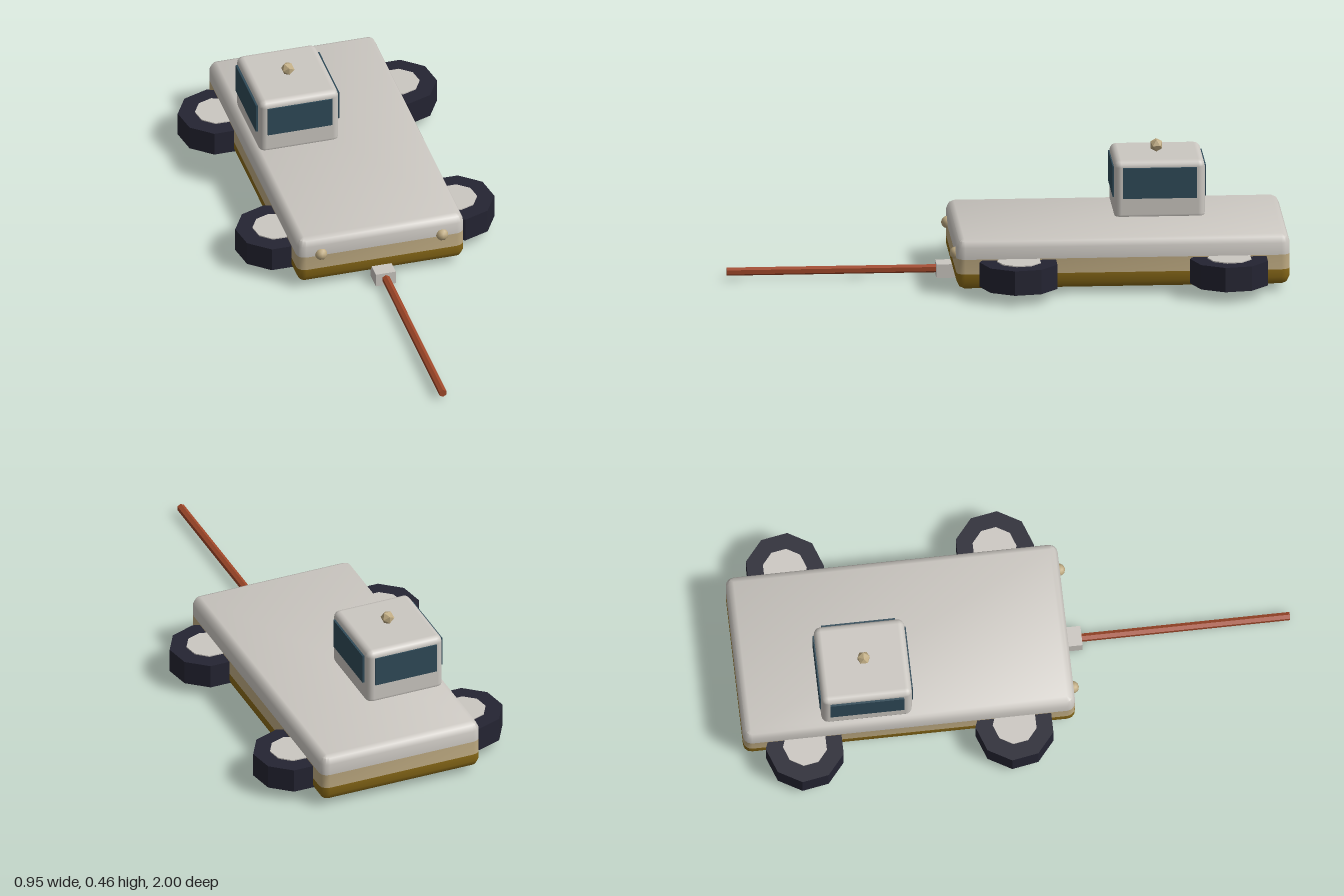
import * as THREE from 'three';
import { toCreasedNormals } from 'three/addons/utils/BufferGeometryUtils.js';
import { RoundedBoxGeometry } from 'three/addons/geometries/RoundedBoxGeometry.js';

const paint = (name, color, flatShading = false) => {
  const m = new THREE.MeshStandardMaterial({ color, flatShading });
  m.name = name;
  return m;
};

// Rounded rectangle outline in the x-z plane, shrunk by an inset
function outline(hx, hz, r, inset) {
  const pts = [], rr = Math.max(r - inset, 0.002), steps = 3;
  [[1, 1], [-1, 1], [-1, -1], [1, -1]].forEach(([sx, sz], q) => {
    for (let i = 0; i <= steps; i++) {
      const a = (q + i / steps) * Math.PI / 2;
      pts.push([sx * (hx - inset - rr) + rr * Math.cos(a), sz * (hz - inset - rr) + rr * Math.sin(a)]);
    }
  });
  return pts;
}

// Horizontal slab of the hull from [y, inset] levels, bottom to top, closed at both ends
function hullBand(levels) {
  const pos = [], index = [];
  const rings = levels.map(([y, inset]) => outline(0.31, 0.5975, 0.03, inset).map(([x, z]) => [x, y, z]));
  const n = rings[0].length, last = rings.length - 1;
  rings.forEach(ring => ring.forEach(p => pos.push(...p)));
  for (let k = 0; k < last; k++) for (let i = 0; i < n; i++) {
    const a = k * n + i, b = k * n + (i + 1) % n;
    index.push(a, a + n, b, b, a + n, b + n);
  }
  for (let i = 1; i < n - 1; i++) {
    index.push(0, i, i + 1);
    index.push(last * n, last * n + i + 1, last * n + i);
  }
  const g = new THREE.BufferGeometry();
  g.setAttribute('position', new THREE.Float32BufferAttribute(pos, 3));
  g.setIndex(index);
  return toCreasedNormals(g, 0.7);
}

export function createModel() {
  const model = new THREE.Group();
  const white = paint('offWhite', 0xcbc7c1);
  const tan = paint('tan', 0xbfab82);
  const brown = paint('ochreBrown', 0x8b6b18);
  const glass = paint('darkGlass', 0x2f4a58);
  const rubber = paint('rubber', 0x242432, true);
  const rust = paint('rust', 0xa0482a, true);

  const add = (name, geometry, material, x = 0, y = 0, z = 0, parent = model) => {
    const mesh = new THREE.Mesh(geometry, material);
    mesh.name = name;
    mesh.position.set(x, y, z);
    parent.add(mesh);
    return mesh;
  };

  // Hull in three painted bands
  const hull = new THREE.Group();
  hull.name = 'hull';
  hull.position.z = -0.4025;
  model.add(hull);
  add('hullLower', hullBand([[0.022, 0.028], [0.031, 0.01], [0.052, 0], [0.08, 0]]), brown, 0, 0, 0, hull);
  add('hullStripe', hullBand([[0.08, 0], [0.134, 0]]), tan, 0, 0, 0, hull);
  add('hullUpper', hullBand([[0.134, 0], [0.177, 0], [0.198, 0.01], [0.207, 0.028]]), white, 0, 0, 0, hull);

  // Cab, offset to one side, with a window on each face
  const cab = new THREE.Group();
  cab.name = 'cab';
  cab.position.set(-0.138, 0, -0.553);
  model.add(cab);
  add('cabShell', new RoundedBoxGeometry(0.296, 0.222, 0.326, 2, 0.025), white, 0, 0.301, 0, cab);
  for (const s of [-1, 1]) {
    add(s > 0 ? 'frontWindow' : 'rearWindow', new THREE.BoxGeometry(0.24, 0.112, 0.009), glass, 0, 0.331, s * 0.163, cab);
    add(s > 0 ? 'leftWindow' : 'rightWindow', new THREE.BoxGeometry(0.009, 0.112, 0.265), glass, s * 0.151, 0.331, 0, cab);
  }
  const lamp = new THREE.IcosahedronGeometry(0.025, 0);
  add('roofBeacon', lamp, tan, 0, 0.434, 0.003, cab);

  // Wheels lying flat, with raised hubs
  for (const s of [-1, 1]) for (const z of [-0.782, -0.027]) {
    const wheel = new THREE.Group();
    wheel.name = 'wheel';
    wheel.position.set(s * 0.335, 0, z);
    wheel.rotation.y = s > 0 ? 0 : Math.PI;
    model.add(wheel);
    add('tyre', new THREE.CylinderGeometry(0.142, 0.142, 0.09, 9), rubber, 0, 0.085, 0, wheel);
    add('hub', new THREE.CylinderGeometry(0.08, 0.08, 0.093, 9), white, 0, 0.0875, 0, wheel);
  }

  // Headlights
  for (const s of [-1, 1]) add('headlight', new THREE.IcosahedronGeometry(0.023, 1), tan, s * 0.225, 0.14, 0.193);

  // Hitch block and tow pole
  add('hitchBlock', new THREE.BoxGeometry(0.074, 0.05, 0.07), white, 0, 0.025, 0.215);
  const pole = new THREE.CylinderGeometry(0.015, 0.015, 0.8, 6).rotateX(Math.PI / 2);
  add('towPole', pole, rust, 0, 0.027, 0.6);

  return model;
}
